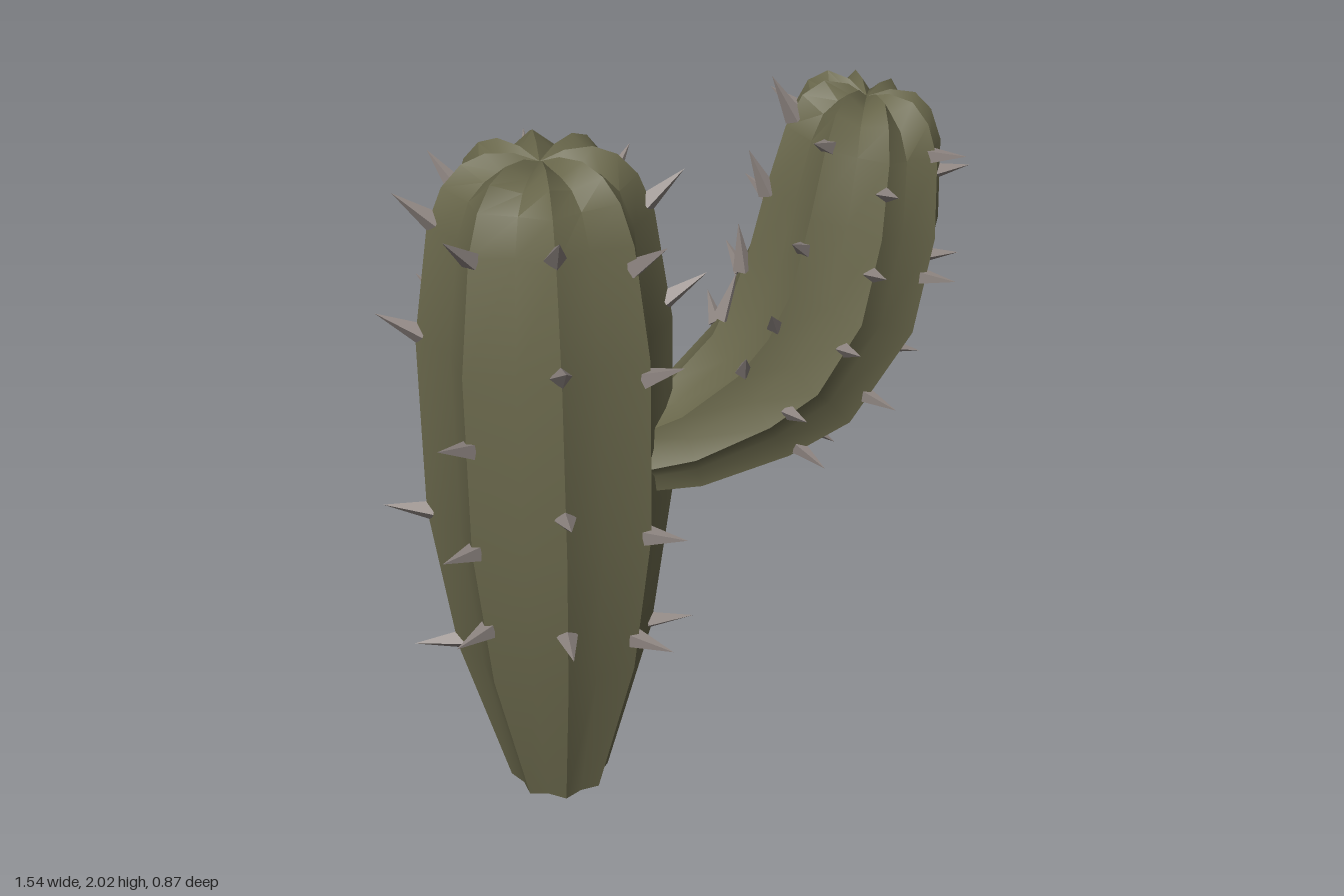
import * as THREE from 'three';
import { toCreasedNormals } from 'three/addons/utils/BufferGeometryUtils.js';

const RIBS = 8;
const TWIST = 0.05;

// Ring: [x, y, lean in degrees (towards +x), ridge radius, valley ratio, valley drop]
const TRUNK = [
  [-0.335, 0, 0, 0.137, 0.85, 0],
  [-0.335, 0.46, 0, 0.265, 0.84, 0],
  [-0.335, 0.9, 0, 0.325, 0.83, 0],
  [-0.335, 1.4, 0, 0.325, 0.83, 0],
  [-0.335, 1.7, 0, 0.28, 0.83, 0],
  [-0.335, 1.8, 0, 0.24, 0.82, 0.01],
  [-0.335, 1.855, 0, 0.19, 0.8, 0.025],
  [-0.335, 1.88, 0, 0.13, 0.78, 0.035],
  [-0.335, 1.875, 0, 0.06, 0.8, 0.025],
];
const ARM = [
  [-0.12, 1.02, 78, 0.12, 0.83, 0],
  [0.02, 1.055, 76, 0.155, 0.83, 0],
  [0.2, 1.155, 60, 0.203, 0.83, 0],
  [0.31, 1.26, 50, 0.245, 0.83, 0],
  [0.415, 1.445, 25, 0.25, 0.83, 0],
  [0.46, 1.665, 15, 0.237, 0.83, 0],
  [0.48, 1.85, 10, 0.205, 0.82, 0.01],
  [0.485, 1.93, 11, 0.17, 0.8, 0.025],
  [0.49, 1.97, 12, 0.12, 0.78, 0.035],
  [0.488, 1.97, 12, 0.055, 0.8, 0.025],
];

// Point in the frame of a ring: outward by radius at an angle, raised along the axis
function ringPoint([x, y, lean], angle, radius, rise = 0) {
  const f = THREE.MathUtils.degToRad(lean);
  const u = radius * Math.cos(angle);
  return new THREE.Vector3(
    x + u * Math.cos(f) + rise * Math.sin(f),
    y - u * Math.sin(f) + rise * Math.cos(f),
    radius * Math.sin(angle));
}

// Star-shaped rings joined into a closed ribbed body
function ribbedBody(rings, twist) {
  const n = RIBS * 2, pos = [], index = [];
  for (const ring of rings) {
    for (let i = 0; i < n; i++) {
      const valley = i % 2 === 1;
      const a = twist + (i / n) * Math.PI * 2;
      const p = ringPoint(ring, a, ring[3] * (valley ? ring[4] : 1), valley ? -ring[5] : 0);
      pos.push(p.x, p.y, p.z);
    }
  }
  const last = (rings.length - 1) * n, bottom = rings.length * n, top = bottom + 1;
  const b = ringPoint(rings[0], 0, 0), t = ringPoint(rings[rings.length - 1], 0, 0, -0.025);
  pos.push(b.x, b.y, b.z, t.x, t.y, t.z);
  for (let i = 0; i < n; i++) {
    const j = (i + 1) % n;
    for (let k = 0; k < last; k += n) {
      index.push(k + i, k + n + i, k + j, k + j, k + n + i, k + n + j);
    }
    index.push(bottom, i, j, top, last + j, last + i);
  }
  const g = new THREE.BufferGeometry();
  g.setAttribute('position', new THREE.Float32BufferAttribute(pos, 3));
  g.setIndex(index);
  return toCreasedNormals(g, 0.62);
}

// Ring values between two neighbouring rings
function ringAt(rings, t) {
  const k = Math.min(Math.floor(t), rings.length - 2);
  return rings[k].map((v, i) => THREE.MathUtils.lerp(v, rings[k + 1][i], t - k));
}

// Fractional ring number for a height on the trunk
function trunkParam(y) {
  let k = 0;
  while (TRUNK[k + 1][1] < y) k++;
  return k + (y - TRUNK[k][1]) / (TRUNK[k + 1][1] - TRUNK[k][1]);
}

export function createModel() {
  const green = new THREE.MeshStandardMaterial({ color: 0x69674b });
  green.name = 'olive green';
  const grey = new THREE.MeshStandardMaterial({ color: 0x8f8682 });
  grey.name = 'spine grey';

  const model = new THREE.Group();
  model.name = 'cactus';

  const add = (name, geometry, material, parent) => {
    const mesh = new THREE.Mesh(geometry, material);
    mesh.name = name;
    parent.add(mesh);
    return mesh;
  };

  // Ribbed bodies
  add('trunk', ribbedBody(TRUNK, TWIST), green, model);
  add('arm', ribbedBody(ARM, 0), green, model);

  // Four-sided thorn, base at the origin
  const thorn = (radius, length) => {
    const g = new THREE.ConeGeometry(radius, length, 4).toNonIndexed();
    g.translate(0, length / 2 - 0.015, 0);
    g.computeVertexNormals();
    return g;
  };
  const up = new THREE.Vector3(0, 1, 0);
  const placeSpine = (geometry, rings, t, angle, lift, parent) => {
    const ring = ringAt(rings, t);
    const base = ringPoint(ring, angle, ring[3]);
    const dir = ringPoint(ring, angle, ring[3] + Math.cos(lift), Math.sin(lift)).sub(base);
    const spine = add('spine', geometry, grey, parent);
    spine.position.copy(base);
    spine.quaternion.setFromUnitVectors(up, dir.normalize());
  };

  // Trunk spines: heights for each rib, starting at +x and turning towards the front
  const trunkSpines = new THREE.Group();
  trunkSpines.name = 'trunkSpines';
  model.add(trunkSpines);
  const heights = [
    [0.48, 1.46, 1.73], [0.56, 0.9, 1.36, 1.65], [0.65, 1.03, 1.43, 1.72], [0.64, 0.9, 1.2, 1.7],
    [0.48, 0.9, 1.42, 1.72], [0.6, 1.0, 1.38, 1.72], [0.48, 0.9, 1.42, 1.72], [0.48, 1.03, 1.4, 1.7],
  ];
  const bigThorn = thorn(0.028, 0.13);
  heights.forEach((list, rib) => {
    const angle = TWIST + (rib / RIBS) * Math.PI * 2;
    for (const y of list) {
      const lift = THREE.MathUtils.clamp((y - 0.5) * 0.58, 0, 0.72);
      placeSpine(bigThorn, TRUNK, trunkParam(y), angle, lift, trunkSpines);
    }
  });

  // Arm spines: four along each rib, staggered on alternate ribs
  const armSpines = new THREE.Group();
  armSpines.name = 'armSpines';
  model.add(armSpines);
  const smallThorn = thorn(0.022, 0.095);
  const innerThorn = thorn(0.026, 0.13);
  for (let rib = 0; rib < RIBS; rib++) {
    const angle = (rib / RIBS) * Math.PI * 2;
    const inner = rib === RIBS / 2;
    const places = rib % 2 ? [2.2, 3.3, 4.6, 6.1] : [2.45, 3.65, 4.6, 5.6];
    if (inner) places.splice(0, 4, 2.5, 3.7, 5, 6.4);
    for (const t of places) {
      placeSpine(inner ? innerThorn : smallThorn, ARM, t, angle, inner ? 0.9 : 0.3, armSpines);
    }
  }
  return model;
}
